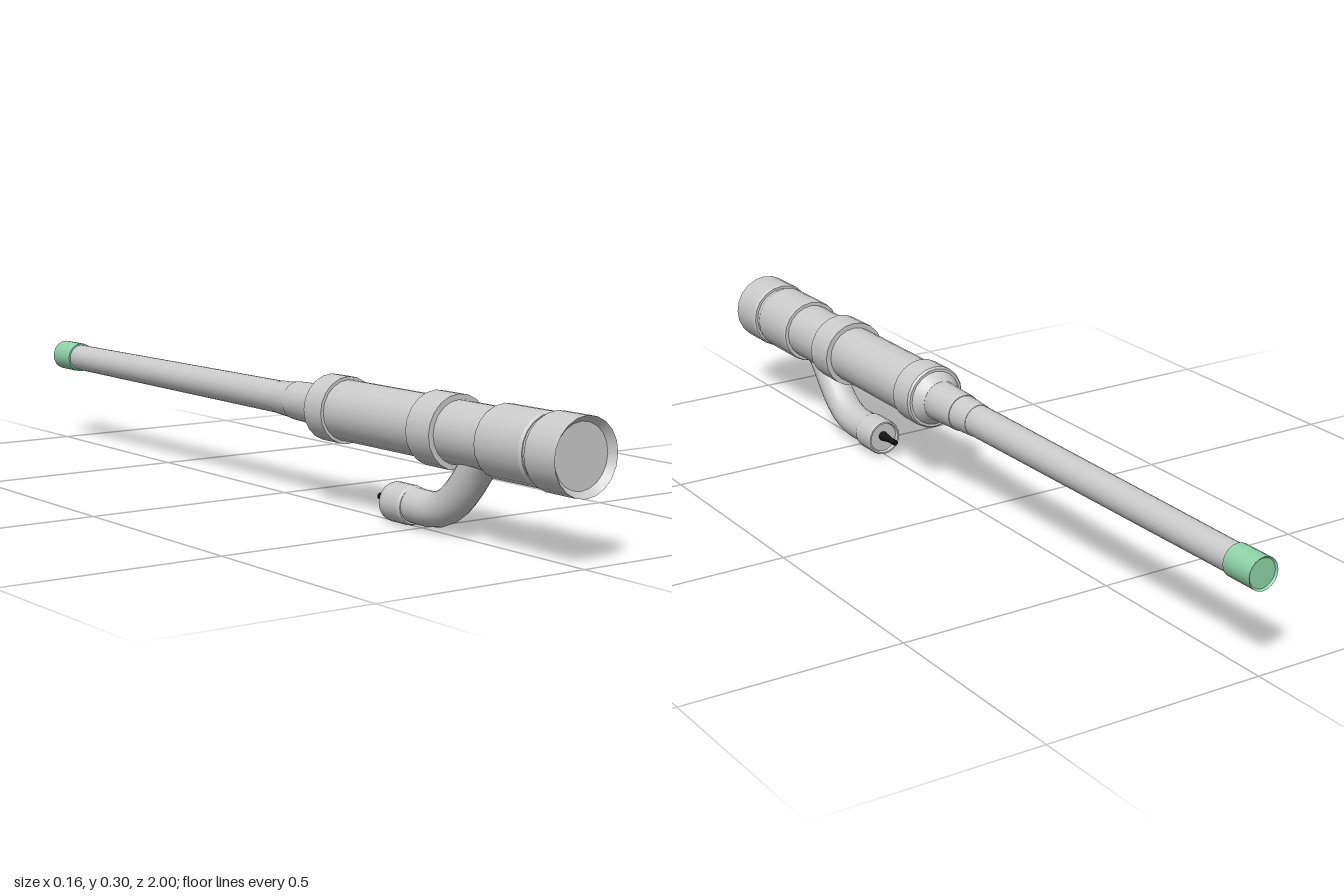
import * as THREE from 'three';
import { mergeGeometries } from 'three/addons/utils/BufferGeometryUtils.js';

const AXIS_Y = 0.217;
const grey = new THREE.MeshStandardMaterial({ color: 0xcccccc });
const green = new THREE.MeshStandardMaterial({ color: 0x8fd3a8 });
const black = new THREE.MeshStandardMaterial({ color: 0x111111 });

// Turned part along z from [radius, z] pairs; every ring stays a sharp edge.
function turned(name, profile, y = AXIS_Y, material = grey, sides = 20) {
  const bands = [];
  for (let i = 0; i < profile.length - 1; i++) {
    const pair = [profile[i], profile[i + 1]].map(([r, z]) => new THREE.Vector2(r, z));
    bands.push(new THREE.LatheGeometry(pair, sides));
  }
  const geometry = mergeGeometries(bands);
  geometry.rotateX(Math.PI / 2);
  const mesh = new THREE.Mesh(geometry, material);
  mesh.name = name;
  mesh.position.y = y;
  return mesh;
}

// Closed sleeve with straight or tapered walls.
const sleeve = (name, z0, z1, r0, r1 = r0) =>
  turned(name, [[0, z0], [r0, z0], [r1, z1], [0, z1]]);

export function createModel() {
  const model = new THREE.Group();
  model.name = 'probe';

  // Front cap with a bevelled, recessed face
  model.add(turned('frontCap', [[0, 0.908], [0.078, 0.908], [0.081, 0.915], [0.081, 1], [0.068, 0.985], [0, 0.985]]));

  // Handle and its collars
  model.add(
    sleeve('capNeck', 0.88, 0.915, 0.072),
    turned('frontGrip', [[0, 0.755], [0.075, 0.755], [0.077, 0.76], [0.077, 0.89], [0.074, 0.897], [0, 0.897]]),
    sleeve('handleBody', 0.2, 0.8, 0.067),
    sleeve('middleCollar', 0.542, 0.618, 0.079),
    turned('rearCollar', [[0, 0.172], [0.07, 0.172], [0.074, 0.177], [0.074, 0.24], [0, 0.24]]),
    sleeve('shoulderCone', 0.147, 0.175, 0.047, 0.066),
  );

  // Stepped, tapering shaft
  model.add(
    sleeve('shaftRoot', 0.05, 0.16, 0.043, 0.047),
    sleeve('shaftStep', -0.01, 0.06, 0.038, 0.042),
    sleeve('shaft', -0.95, 0, 0.032, 0.037),
  );

  // Coloured tip sleeve with a shallow recessed end
  model.add(turned('tip', [[0, -0.996], [0.032, -0.996], [0.036, -1], [0.036, -0.92], [0, -0.92]], AXIS_Y, green));

  // Bent cable outlet below the handle
  const path = new THREE.CurvePath();
  const points = [[0.2, 0.735], [0.165, 0.69], [0.1, 0.635], [0.063, 0.592], [0.046, 0.545], [0.046, 0.44]]
    .map(([y, z]) => new THREE.Vector3(0, y, z));
  for (let i = 1; i < points.length; i++) path.add(new THREE.LineCurve3(points[i - 1], points[i]));
  const outlet = new THREE.Mesh(
    new THREE.TubeGeometry(new THREE.CatmullRomCurve3(points), 12, 0.038, 20), grey);
  outlet.name = 'cableOutlet';
  model.add(outlet);

  // Socket collar with a recessed end
  model.add(turned('outletCollar',
    [[0, 0.413], [0.035, 0.413], [0.037, 0.405], [0.041, 0.405], [0.043, 0.412], [0.043, 0.468], [0.04, 0.475], [0, 0.475]], 0.043));

  // Cable stub with a flared strain relief
  model.add(turned('cableStub',
    [[0, 0.355], [0.007, 0.355], [0.007, 0.38], [0.012, 0.415], [0, 0.415]], 0.046, black, 12));

  return model;
}
